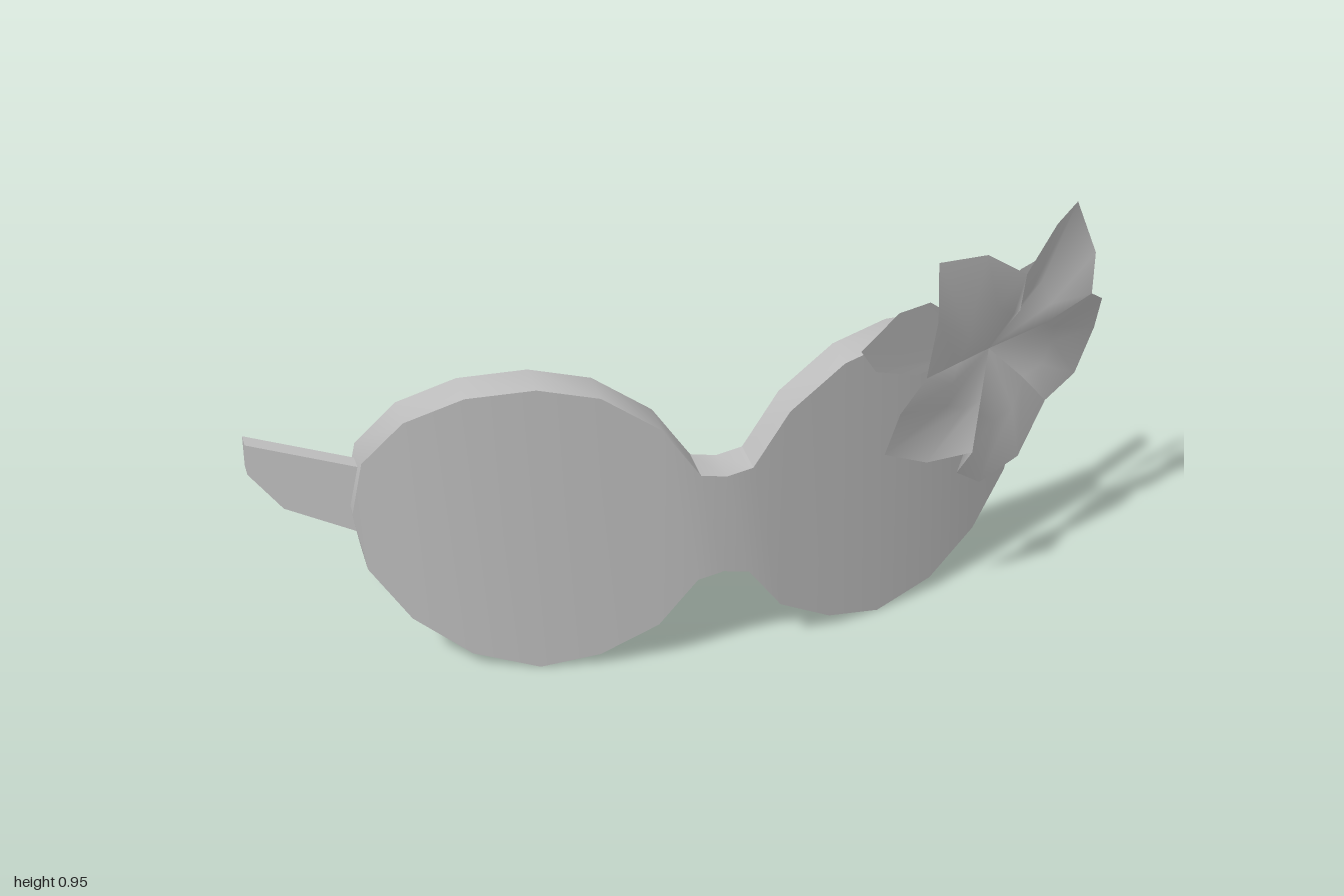
import * as THREE from 'three';
import { toCreasedNormals, mergeVertices } from 'three/addons/utils/BufferGeometryUtils.js';

const grey = new THREE.MeshStandardMaterial({ color: 0xbcbcbc, side: THREE.DoubleSide });
grey.name = 'grey';

// Half profile of the mask: x, top y, bottom y, front z
const columns = [
  [0, 0.507, 0.245, 0.184], [0.06, 0.52, 0.232, 0.184], [0.145, 0.645, 0.11, 0.168],
  [0.275, 0.735, 0.033, 0.143], [0.408, 0.76, 0.0, 0.11], [0.555, 0.735, 0.036, 0.062],
  [0.68, 0.66, 0.123, 0.004], [0.768, 0.54, 0.25, -0.043], [0.792, 0.405, 0.395, -0.054],
];
const lean = 0.08;

// Curved plate, leaning slightly forward at the top
function maskGeometry() {
  const thick = 0.085;
  const left = columns.slice(1).reverse().map(([x, ...rest]) => [-x, ...rest]);
  const rings = [...left, ...columns].map(([x, top, bottom, z]) => {
    const zt = z + lean * (top - 0.38), zb = z + lean * (bottom - 0.38);
    return [[x, top, zt], [x, bottom, zb], [x, bottom + 0.007, zb - thick], [x, top + 0.006, zt - thick]];
  });
  const pos = [];
  const quad = (a, b, c, d) => pos.push(...a, ...b, ...c, ...a, ...c, ...d);
  for (let i = 0; i < rings.length - 1; i++) {
    for (let k = 0; k < 4; k++) {
      const n = (k + 1) % 4;
      quad(rings[i][k], rings[i][n], rings[i + 1][n], rings[i + 1][k]);
    }
  }
  const [s, e] = [rings[0], rings[rings.length - 1]];
  quad(s[3], s[2], s[1], s[0]);
  quad(e[0], e[1], e[2], e[3]);
  const g = new THREE.BufferGeometry();
  g.setAttribute('position', new THREE.Float32BufferAttribute(pos, 3));
  return toCreasedNormals(g, 0.7);
}

// Side tab, swept backwards by shearing z along x, with the same lean as the mask
function strapGeometry(side, end) {
  const inner = 0.76;
  const outline = [[inner, 0.515], [end, 0.53], [end, 0.45], [end - 0.07, 0.37], [inner, 0.333]];
  const shape = new THREE.Shape(outline.map(([x, y]) => new THREE.Vector2(x * side, y)));
  const g = new THREE.ExtrudeGeometry(shape, { depth: 0.042, bevelEnabled: false });
  const p = g.attributes.position;
  for (let i = 0; i < p.count; i++) {
    const t = (Math.abs(p.getX(i)) - inner) / (end - inner);
    p.setZ(i, p.getZ(i) - 0.095 - 0.148 * t + lean * (p.getY(i) - 0.51));
  }
  g.computeVertexNormals();
  return g;
}

// Petal: centre, a middle ring raised along the flower's axis, then the outline
function petalGeometry(centre, outline, bulge) {
  const c = new THREE.Vector3(...centre), axis = new THREE.Vector3(0.42, 0, 0.9);
  const outer = outline.map((p) => new THREE.Vector3(...p));
  const middle = outer.map((p, i) =>
    c.clone().lerp(p, 0.5).addScaledVector(axis, bulge * Math.sin((Math.PI * i) / (outer.length - 1))));
  const points = [];
  for (let i = 0; i < outer.length - 1; i++) {
    points.push(c, middle[i + 1], middle[i]);
    points.push(middle[i], middle[i + 1], outer[i + 1], middle[i], outer[i + 1], outer[i]);
  }
  const g = mergeVertices(new THREE.BufferGeometry().setFromPoints(points));
  g.computeVertexNormals();
  return g;
}

// Seams shared by neighbouring front petals, listed from the centre outwards
const seams = {
  top: [[0.705, 0.775, 0.118], [0.71, 0.87, 0.13]],
  upperLeft: [[0.81, 0.71, 0.04], [0.925, 0.735, 0.018]],
  lowerLeft: [[0.735, 0.56, 0.065], [0.82, 0.48, 0.035]],
  lowerRight: [[0.59, 0.452, 0.165]],
  upperRight: [[0.45, 0.693, 0.215]],
};
const petal = (from, tip, to) => [...seams[from], ...tip, ...seams[to].slice().reverse()];

// Petal outlines, each running clockwise as seen from the front
const petals = {
  upperRightPetal: petal('upperRight', [[0.465, 0.84, 0.23], [0.48, 0.955, 0.18], [0.6, 0.95, 0.165]], 'top'),
  upperLeftPetal: petal('top', [[0.8, 0.955, 0.075], [0.89, 0.955, -0.02], [0.935, 0.83, 0]], 'upperLeft'),
  leftPetal: petal('upperLeft', [[0.985, 0.68, -0.05], [1, 0.57, -0.11], [0.93, 0.49, -0.05]], 'lowerLeft'),
  lowerPetal: petal('lowerLeft', [[0.76, 0.34, 0.037], [0.67, 0.28, 0.03], [0.58, 0.365, 0.105]], 'lowerRight'),
  rightPetal: petal('lowerRight', [[0.47, 0.46, 0.19], [0.355, 0.52, 0.225], [0.38, 0.63, 0.245]], 'upperRight'),
  backRightPetal: [[0.45, 0.67, 0.157], [0.33, 0.73, 0.218], [0.285, 0.8, 0.243], [0.39, 0.85, 0.188], [0.48, 0.84, 0.142], [0.56, 0.77, 0.101]],
  backLeftPetal: [[0.74, 0.76, 0.008], [0.75, 0.815, 0.004], [0.834, 0.825, -0.035], [0.965, 0.79, -0.095], [0.93, 0.71, -0.08], [0.865, 0.67, -0.05]],
};

export function createModel() {
  const model = new THREE.Group();
  model.name = 'flowerMask';
  const add = (parent, name, geometry) => {
    const mesh = new THREE.Mesh(geometry, grey);
    mesh.name = name;
    parent.add(mesh);
  };

  add(model, 'mask', maskGeometry());
  add(model, 'leftStrap', strapGeometry(1, 0.985));
  add(model, 'rightStrap', strapGeometry(-1, 1));

  // Flower on the upper left corner; the flat back petals sit a little deeper
  const flower = new THREE.Group();
  flower.name = 'flower';
  for (const [name, outline] of Object.entries(petals)) {
    const back = name.startsWith('back');
    add(flower, name, petalGeometry([0.66, 0.655, back ? 0.045 : 0.06], outline, back ? 0 : 0.03));
  }
  model.add(flower);
  return model;
}
